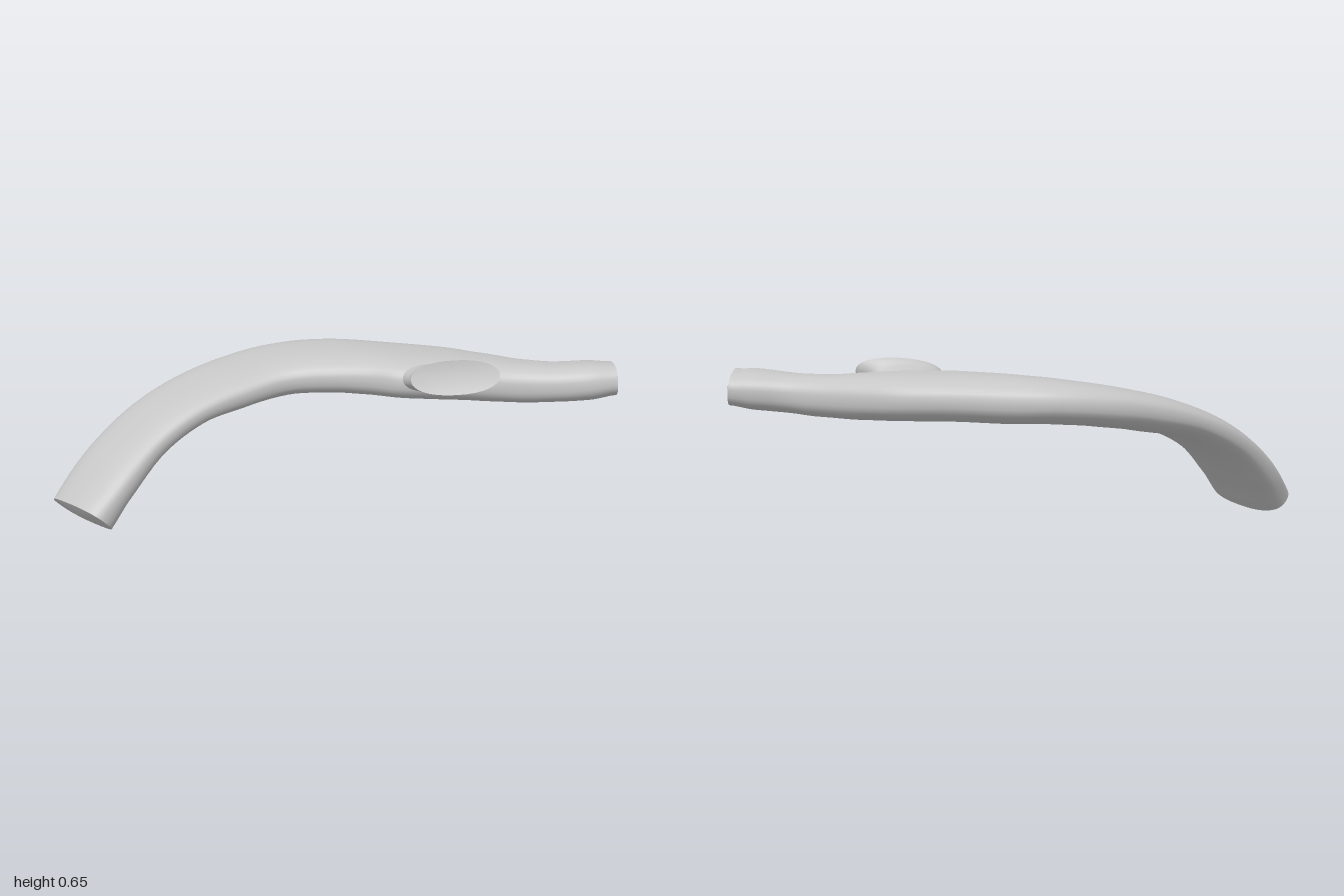
import * as THREE from 'three';

// Lofts oval sections between an outer and an inner edge curve.
// Each row: outer x,y,z, inner x,y,z, half thickness, end bulge unused.
function loft(rows, steps, sides, power) {
  const curve = (f) => new THREE.CatmullRomCurve3(rows.map(f));
  const outer = curve((r) => new THREE.Vector3(r[0], r[1], r[2]));
  const inner = curve((r) => new THREE.Vector3(r[3], r[4], r[5]));
  const centre = curve((r) => new THREE.Vector3((r[0] + r[3]) / 2, (r[1] + r[4]) / 2, (r[2] + r[5]) / 2));
  const squash = (v) => Math.sign(v) * Math.pow(Math.abs(v), power);
  const rings = [];
  for (let i = 0; i <= steps; i++) {
    const u = i / steps;
    const o = outer.getPoint(u), n = inner.getPoint(u);
    const mid = o.clone().add(n).multiplyScalar(0.5);
    const wide = o.clone().sub(n).multiplyScalar(0.5);
    const up = centre.getTangent(u).cross(wide).normalize();
    const k = u * (rows.length - 1), a = Math.min(Math.floor(k), rows.length - 2);
    const f = THREE.MathUtils.smoothstep(k - a, 0, 1);
    const thick = THREE.MathUtils.lerp(rows[a][6], rows[a + 1][6], f);
    const ring = [];
    for (let j = 0; j < sides; j++) {
      const t = (j / sides) * Math.PI * 2;
      ring.push(mid.clone().addScaledVector(wide, squash(Math.cos(t))).addScaledVector(up, thick * squash(Math.sin(t))));
    }
    rings.push(ring);
  }
  return rings;
}

function build(points, index) {
  const g = new THREE.BufferGeometry().setFromPoints(points);
  g.setIndex(index);
  g.computeVertexNormals();
  return g;
}

function skin(rings) {
  const n = rings[0].length, index = [];
  for (let i = 0; i < rings.length - 1; i++) {
    for (let j = 0; j < n; j++) {
      const a = i * n + j, b = i * n + (j + 1) % n;
      index.push(a, b, b + n, a, b + n, a + n);
    }
  }
  return build(rings.flat(), index);
}

// Closes a ring with a fan whose middle is pushed out or in.
function cap(ring, push, reversed) {
  const n = ring.length, index = [];
  const mid = new THREE.Vector3();
  ring.forEach((p) => mid.addScaledVector(p, 1 / n));
  mid.add(push);
  for (let j = 0; j < n; j++) {
    const k = (j + 1) % n;
    if (reversed) index.push(n, k, j);
    else index.push(n, j, k);
  }
  return build([...ring, mid], index);
}

export function createModel() {
  const model = new THREE.Group();
  model.name = 'ribBone';
  const bone = new THREE.MeshStandardMaterial({ color: 0xc6c6c6 });
  bone.name = 'boneGrey';
  const add = (name, geometry) => {
    const mesh = new THREE.Mesh(geometry, bone);
    mesh.name = name;
    model.add(mesh);
  };

  // Curved shaft, from the cut end to the head
  const shaft = loft([
    [-0.92, 0.07, -0.645, -0.90, 0.12, -0.28, 0.085],
    [-0.80, 0.19, -0.68, -0.79, 0.21, -0.30, 0.075],
    [-0.60, 0.34, -0.70, -0.60, 0.345, -0.335, 0.065],
    [-0.38, 0.445, -0.69, -0.42, 0.435, -0.325, 0.065],
    [-0.15, 0.505, -0.655, -0.25, 0.48, -0.29, 0.075],
    [0.04, 0.535, -0.60, -0.07, 0.52, -0.23, 0.08],
    [0.20, 0.55, -0.51, 0.06, 0.54, -0.11, 0.085],
    [0.32, 0.55, -0.40, 0.16, 0.55, 0.01, 0.09],
    [0.47, 0.55, -0.21, 0.23, 0.555, 0.13, 0.09],
    [0.60, 0.545, -0.04, 0.34, 0.555, 0.22, 0.09],
    [0.68, 0.54, 0.12, 0.46, 0.55, 0.30, 0.087],
    [0.76, 0.54, 0.27, 0.58, 0.545, 0.41, 0.08],
    [0.83, 0.545, 0.37, 0.68, 0.555, 0.52, 0.075],
    [0.92, 0.55, 0.45, 0.77, 0.575, 0.62, 0.075],
    [0.99, 0.555, 0.52, 0.86, 0.59, 0.685, 0.065],
  ], 84, 40, 0.8);
  add('shaft', skin(shaft));
  add('cutEnd', cap(shaft[0], new THREE.Vector3(-0.01, -0.01, 0), true));
  add('headFace', cap(shaft[shaft.length - 1], new THREE.Vector3(0.015, 0, 0.015), false));

  // Side knob flaring out to a shallow joint facet
  const knob = loft([
    [0.52, 0.56, 0.12, 0.25, 0.56, 0.00, 0.06],
    [0.46, 0.575, 0.24, 0.235, 0.575, 0.11, 0.055],
    [0.455, 0.595, 0.32, 0.22, 0.59, 0.17, 0.055],
    [0.488, 0.62, 0.408, 0.21, 0.60, 0.20, 0.068],
  ], 18, 32, 0.9);
  add('sideKnob', skin(knob));
  add('jointFacet', cap(knob[knob.length - 1], new THREE.Vector3(0.008, 0, -0.012), false));

  return model;
}
